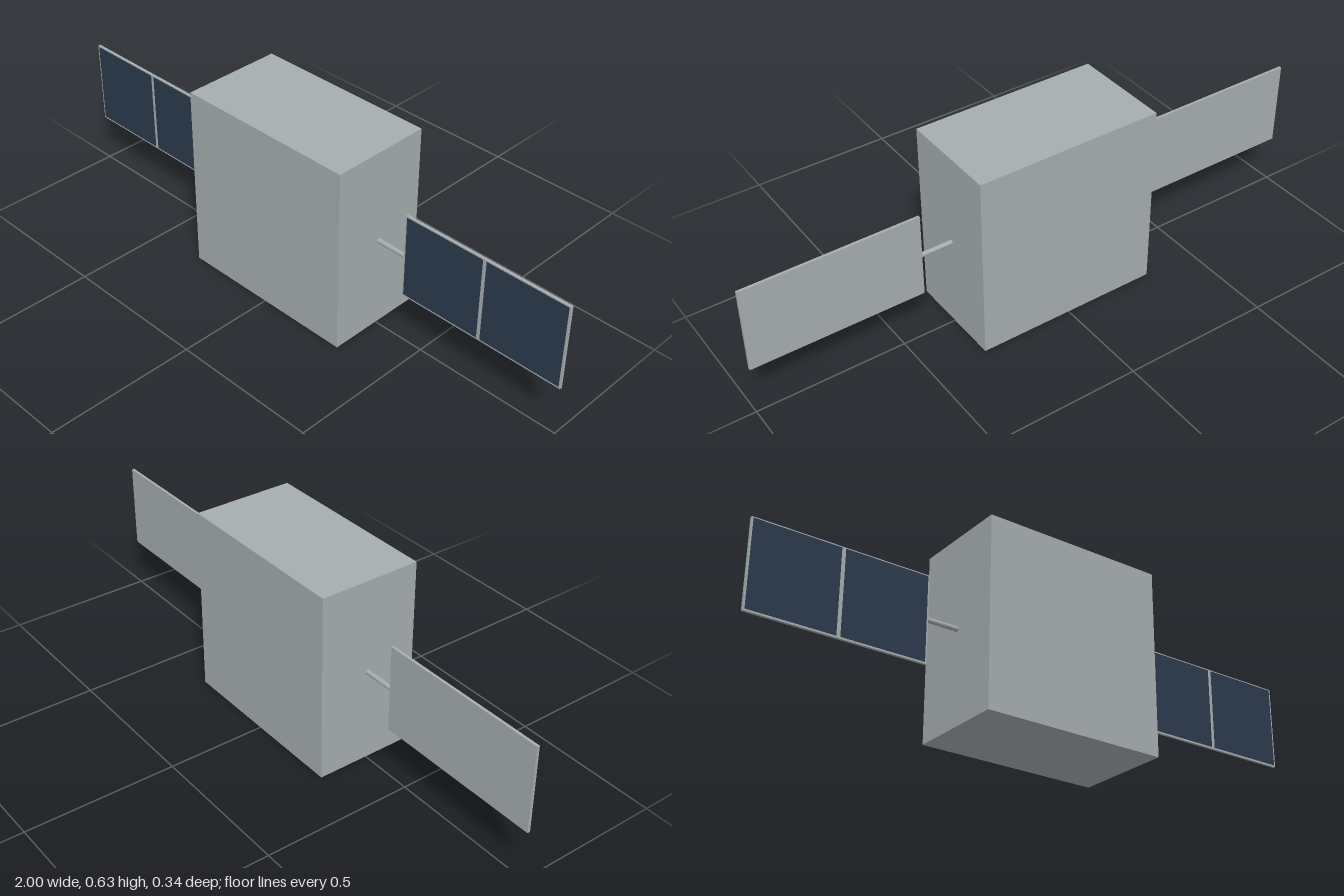
import * as THREE from 'three';

export function createModel() {
  const grey = new THREE.MeshStandardMaterial({ color: 0xa6adae });
  grey.name = 'hull grey';
  const navy = new THREE.MeshStandardMaterial({ color: 0x2c3a4d });
  navy.name = 'solar cell navy';

  const model = new THREE.Group();
  model.name = 'satellite';
  const midY = 0.315;

  const add = (parent, name, geometry, material, x, y, z) => {
    const mesh = new THREE.Mesh(geometry, material);
    mesh.name = name;
    mesh.position.set(x, y, z);
    parent.add(mesh);
    return mesh;
  };

  // Main body
  add(model, 'body', new THREE.BoxGeometry(0.63, 0.63, 0.342), grey, 0, midY, 0);

  // One wing per side: boom, backing panel and two solar cells on the front
  for (const [side, label] of [[1, 'left'], [-1, 'right']]) {
    const wing = new THREE.Group();
    wing.name = `${label}Wing`;
    model.add(wing);

    const boom = add(wing, 'boom', new THREE.CylinderGeometry(0.008, 0.008, 0.11, 16), grey, side * 0.365, midY, 0);
    boom.rotation.z = Math.PI / 2;

    add(wing, 'panelBacking', new THREE.BoxGeometry(0.58, 0.29, 0.009), grey, side * 0.71, midY, 0);

    for (const offset of [-0.1455, 0.1455]) {
      add(wing, 'solarCell', new THREE.BoxGeometry(0.278, 0.28, 0.002), navy, side * 0.71 + offset, midY + 0.001, 0.0045);
    }
  }

  return model;
}
